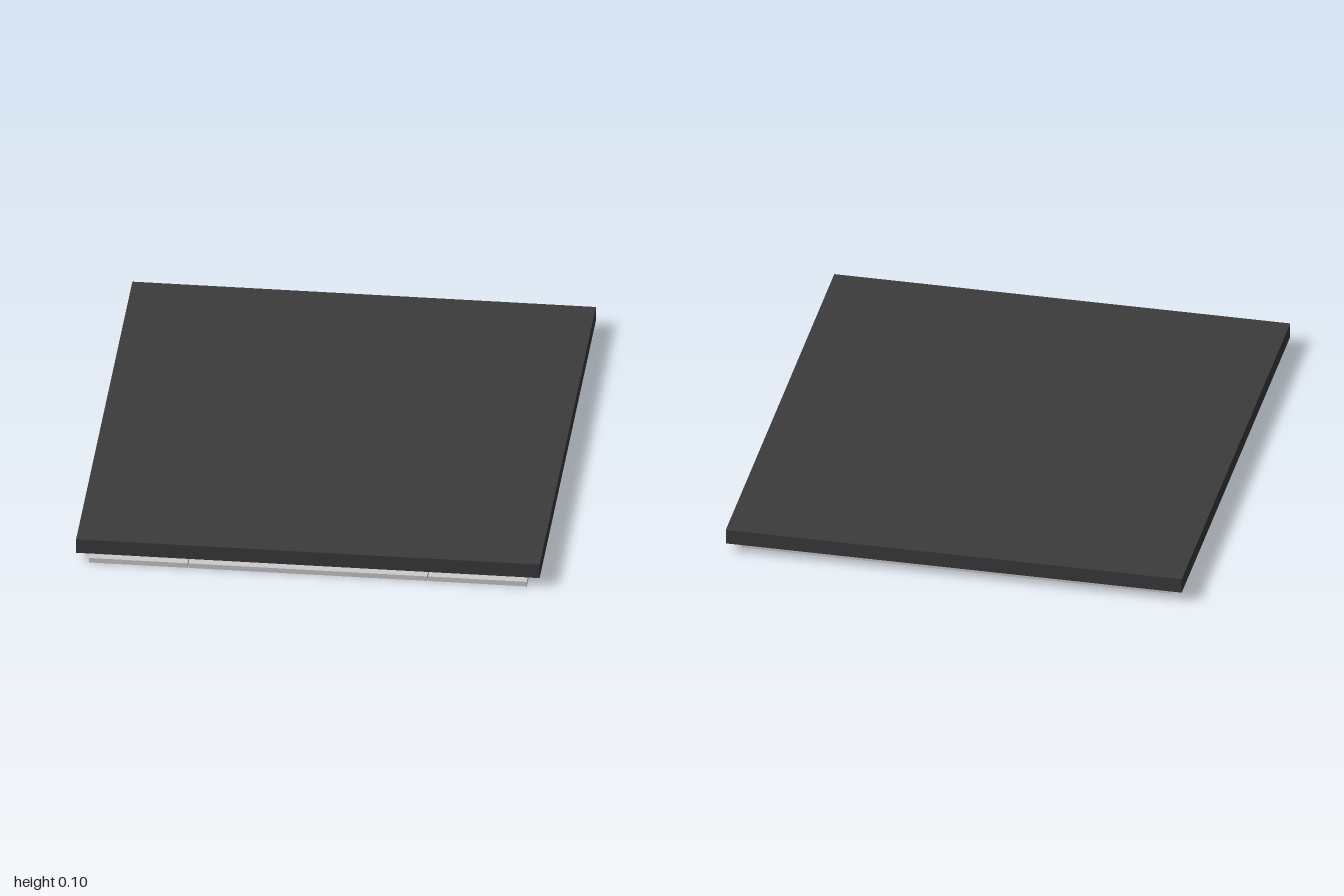
import * as THREE from 'three';

const dark = new THREE.MeshStandardMaterial({ color: 0x3b3b3d });
const grey = new THREE.MeshStandardMaterial({ color: 0xcccccc });

// Box given by its limits on each axis
function slab(name, [x0, x1], [y0, y1], [z0, z1], material) {
  const mesh = new THREE.Mesh(new THREE.BoxGeometry(x1 - x0, y1 - y0, z1 - z0), material);
  mesh.position.set((x0 + x1) / 2, (y0 + y1) / 2, (z0 + z1) / 2);
  mesh.name = name;
  return mesh;
}

function rectangle(path, x0, x1, z0, z1) {
  path.moveTo(x0, z0);
  path.lineTo(x1, z0);
  path.lineTo(x1, z1);
  path.lineTo(x0, z1);
  path.closePath();
  return path;
}

export function createModel() {
  const group = new THREE.Group();
  group.name = 'panelAssembly';

  const thick = 0.02, seam = 0.465, gap = 0.002;
  const back = -0.95, front = 1, recessBack = -0.59, recessFront = 0.755;
  const inner = seam - gap;

  // Thick top board
  group.add(slab('topBoard', [-0.9, 0.9], [0.04, 0.1], [-1, 1], dark));

  // Side panels of the thin lower plate
  group.add(slab('leftPanel', [seam + gap, 0.85], [0, thick], [back, front], grey));
  group.add(slab('rightPanel', [-0.85, -seam - gap], [0, thick], [back, front], grey));

  // Middle strip: front piece and recessed centre
  group.add(slab('frontPanel', [-inner, inner], [0, thick], [recessFront, front], grey));
  group.add(slab('recessedPanel', [-inner, inner], [0.008, thick], [recessBack, recessFront], grey));

  // Back piece, pierced by two rows of vent slots
  const shape = rectangle(new THREE.Shape(), -inner, inner, back, recessBack);
  const columns = 14, pitch = 0.36 / columns;
  for (const z of [-0.8, -0.76]) {
    for (let i = 0; i < columns; i++) {
      const x = -0.18 + (i + 0.5) * pitch;
      shape.holes.push(rectangle(new THREE.Path(), x - 0.008, x + 0.008, z - 0.013, z + 0.013));
    }
  }
  const backGeometry = new THREE.ExtrudeGeometry(shape, { depth: thick, bevelEnabled: false });
  backGeometry.rotateX(Math.PI / 2).translate(0, thick, 0);
  const backPanel = new THREE.Mesh(backGeometry, grey);
  backPanel.name = 'backPanel';
  group.add(backPanel);

  // Thin cover above the vent slots
  group.add(slab('ventCover', [-0.19, 0.19], [thick, 0.027], [-0.82, -0.74], grey));

  return group;
}
